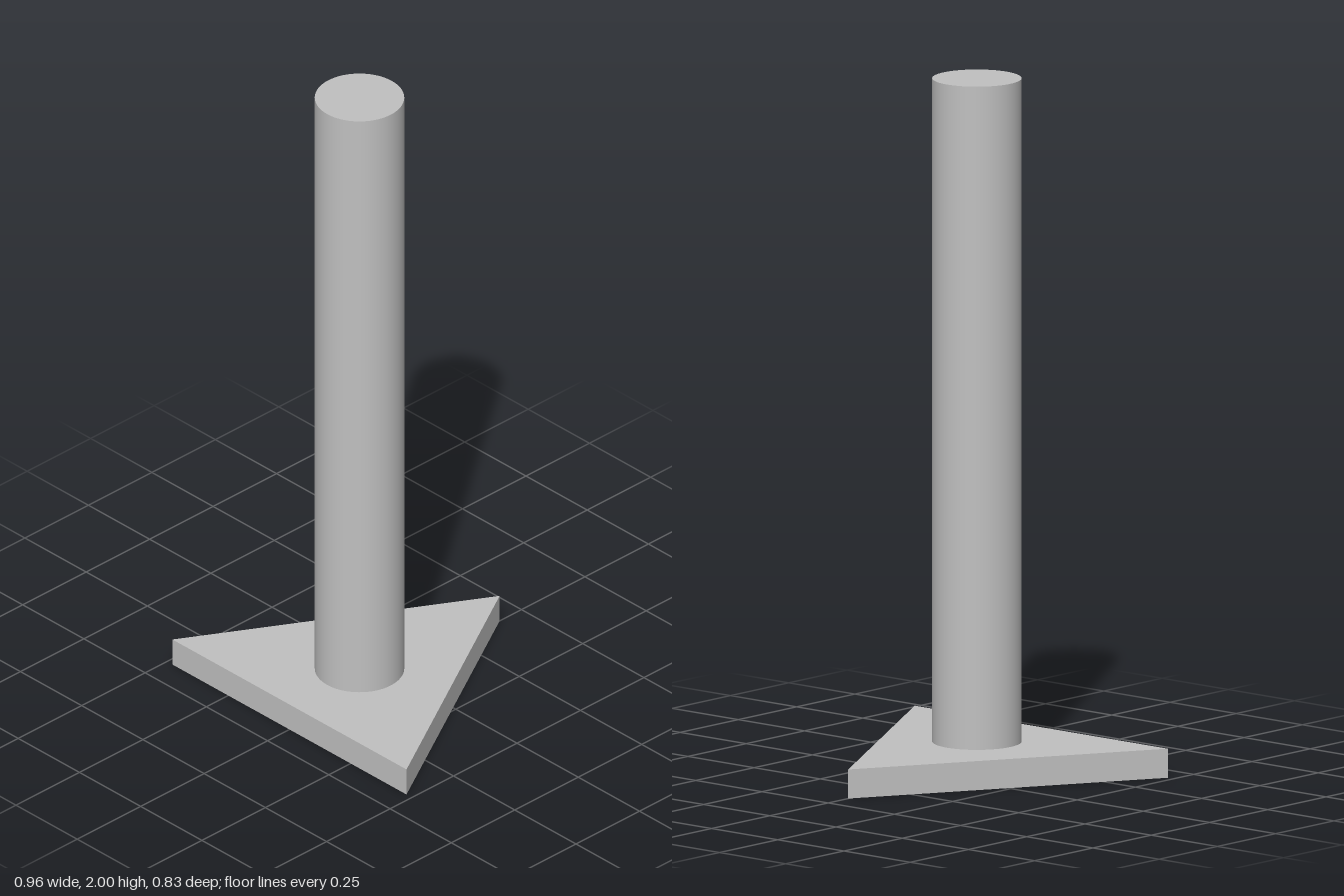
import * as THREE from 'three';

export function createModel() {
  const model = new THREE.Group();
  const grey = new THREE.MeshStandardMaterial({ color: 0xc0c0c0 });
  grey.name = 'grey';

  const baseHeight = 0.084, totalHeight = 2;
  const halfWidth = 0.478, halfDepth = 0.414;

  // Triangular base plate, pointing to the back
  const triangle = new THREE.Shape([
    new THREE.Vector2(-halfWidth, -halfDepth),
    new THREE.Vector2(halfWidth, -halfDepth),
    new THREE.Vector2(0, halfDepth),
  ]);
  const baseGeometry = new THREE.ExtrudeGeometry(triangle, { depth: baseHeight, bevelEnabled: false });
  baseGeometry.rotateX(-Math.PI / 2);
  const base = new THREE.Mesh(baseGeometry, grey);
  base.name = 'base';

  // Round post standing on the triangle's centroid
  const postHeight = totalHeight - baseHeight;
  const post = new THREE.Mesh(new THREE.CylinderGeometry(0.127, 0.127, postHeight, 64), grey);
  post.name = 'post';
  post.position.set(0, baseHeight + postHeight / 2, halfDepth / 3);

  model.add(base, post);
  return model;
}
